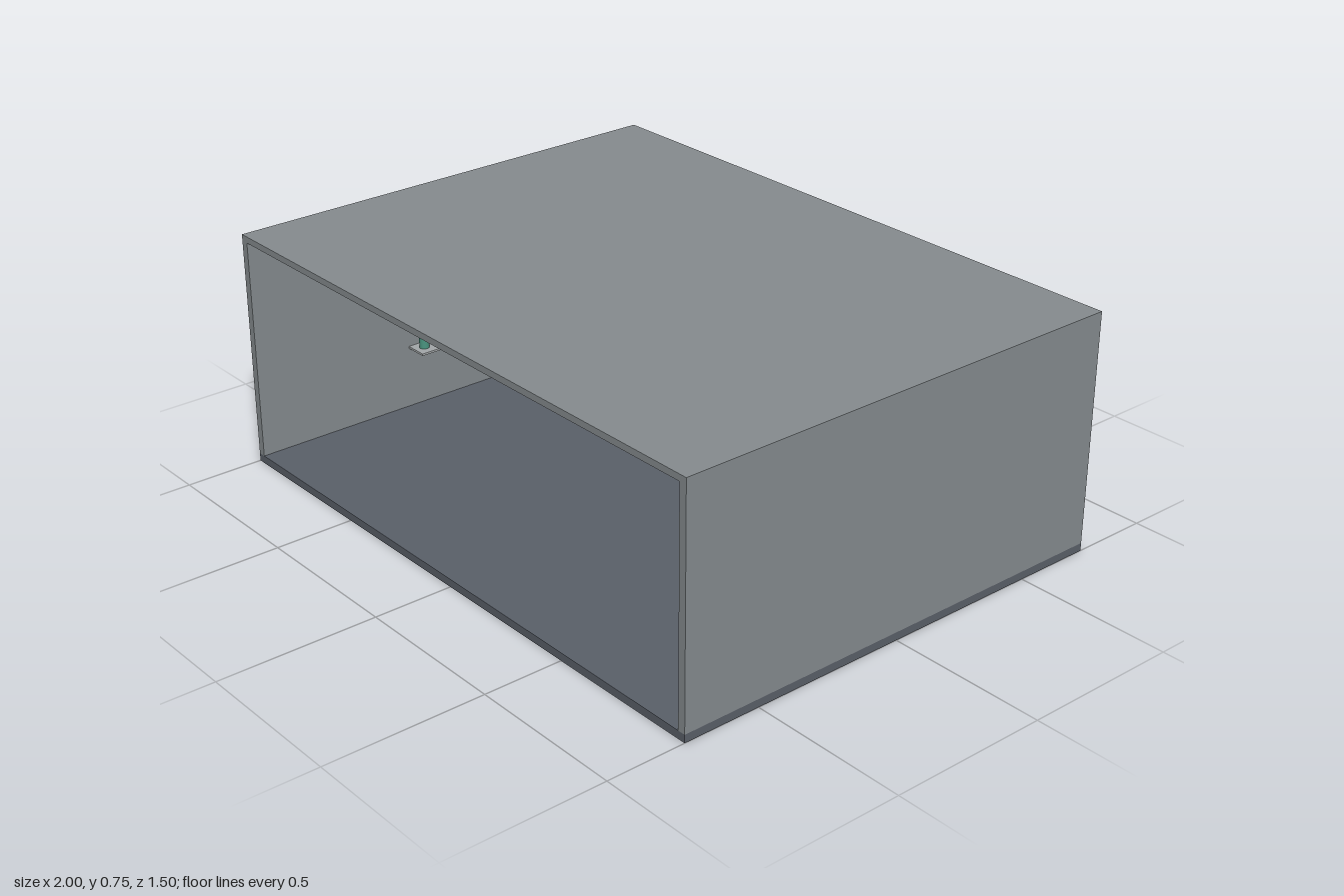
import * as THREE from 'three';

const mat = (color) => new THREE.MeshStandardMaterial({ color });

export function createModel() {
  const room = new THREE.Group();
  room.name = 'room';
  const wallMat = mat(0x868c8f), floorMat = mat(0x5a6069), metalMat = mat(0xa4a8aa);
  const glassMat = mat(0x4a90a0), screenMat = mat(0x56688a), redMat = mat(0xe8402e);
  glassMat.color.set(0x4a9580);
  const capMat = mat(0x3a5f58);

  // Box given by its min and max corners
  const box = (parent, name, material, [x0, y0, z0], [x1, y1, z1]) => {
    const mesh = new THREE.Mesh(new THREE.BoxGeometry(x1 - x0, y1 - y0, z1 - z0), material);
    mesh.position.set((x0 + x1) / 2, (y0 + y1) / 2, (z0 + z1) / 2);
    mesh.name = name;
    parent.add(mesh);
    return mesh;
  };
  const group = (name, x = 0, y = 0, z = 0) => {
    const g = new THREE.Group();
    g.name = name;
    g.position.set(x, y, z);
    room.add(g);
    return g;
  };

  // Shell, open at the front
  box(room, 'floor', floorMat, [-1, 0, -0.75], [1, 0.025, 0.75]);
  box(room, 'roof', wallMat, [-1, 0.73, -0.75], [1, 0.75, 0.75]);
  box(room, 'backWall', wallMat, [-0.975, 0.025, -0.75], [0.975, 0.73, -0.725]);
  box(room, 'rightWall', wallMat, [-1, 0.025, -0.75], [-0.975, 0.73, 0.75]);
  box(room, 'leftWall', wallMat, [0.975, 0.025, -0.75], [1, 0.73, 0.75]);

  // Long desk against the back wall
  const desk = group('desk');
  box(desk, 'deskTop', metalMat, [-0.8, 0.22, -0.7], [0.595, 0.235, -0.5]);
  for (const x of [-0.777, -0.107, 0.575])
    for (const z of [-0.68, -0.52])
      box(desk, 'deskLeg', metalMat, [x - 0.009, 0.025, z - 0.009], [x + 0.009, 0.22, z + 0.009]);

  // Monitors on the desk
  for (const x of [-0.502, 0.222]) {
    const monitor = group('monitor', x, 0.235, -0.6);
    box(monitor, 'monitorStand', metalMat, [-0.016, 0, -0.016], [0.016, 0.04, 0.016]);
    box(monitor, 'monitorCase', metalMat, [-0.086, 0.037, -0.012], [0.086, 0.145, 0.012]);
    box(monitor, 'monitorScreen', screenMat, [-0.076, 0.047, 0.01], [0.076, 0.135, 0.015]);
  }

  // Shelves with rows of jars on the right-hand wall
  const jarGeo = new THREE.CylinderGeometry(0.016, 0.016, 0.05, 16);
  const capGeo = new THREE.CylinderGeometry(0.017, 0.017, 0.01, 16);
  for (const y of [0.225, 0.375, 0.525]) {
    const shelf = group('shelf', 0, y, 0);
    box(shelf, 'shelfBoard', metalMat, [-0.975, 0, -0.3], [-0.9, 0.007, 0.2]);
    for (let i = 0; i < 5; i++) {
      const z = 0.165 - i * 0.1;
      const jar = new THREE.Mesh(jarGeo, glassMat);
      jar.name = 'jar';
      jar.position.set(-0.94, 0.032, z);
      const cap = new THREE.Mesh(capGeo, capMat);
      cap.name = 'jarCap';
      cap.position.set(-0.94, 0.062, z);
      shelf.add(jar, cap);
    }
  }

  // Door on the left-hand wall
  box(room, 'door', metalMat, [0.955, 0.025, 0.05], [0.975, 0.58, 0.3]);

  // Framed red alarm panel with raised bars, on the back wall
  const alarm = group('alarmPanel', 0.648, 0.603, -0.725);
  box(alarm, 'alarmFrame', metalMat, [-0.038, -0.034, 0], [0.038, 0.034, 0.02]);
  for (let i = 0; i < 3; i++) {
    const y = -0.025 + i * 0.017;
    box(alarm, 'alarmBar', redMat, [-0.028, y, 0.015], [0.028, y + 0.016, 0.027]);
  }
  return room;
}
